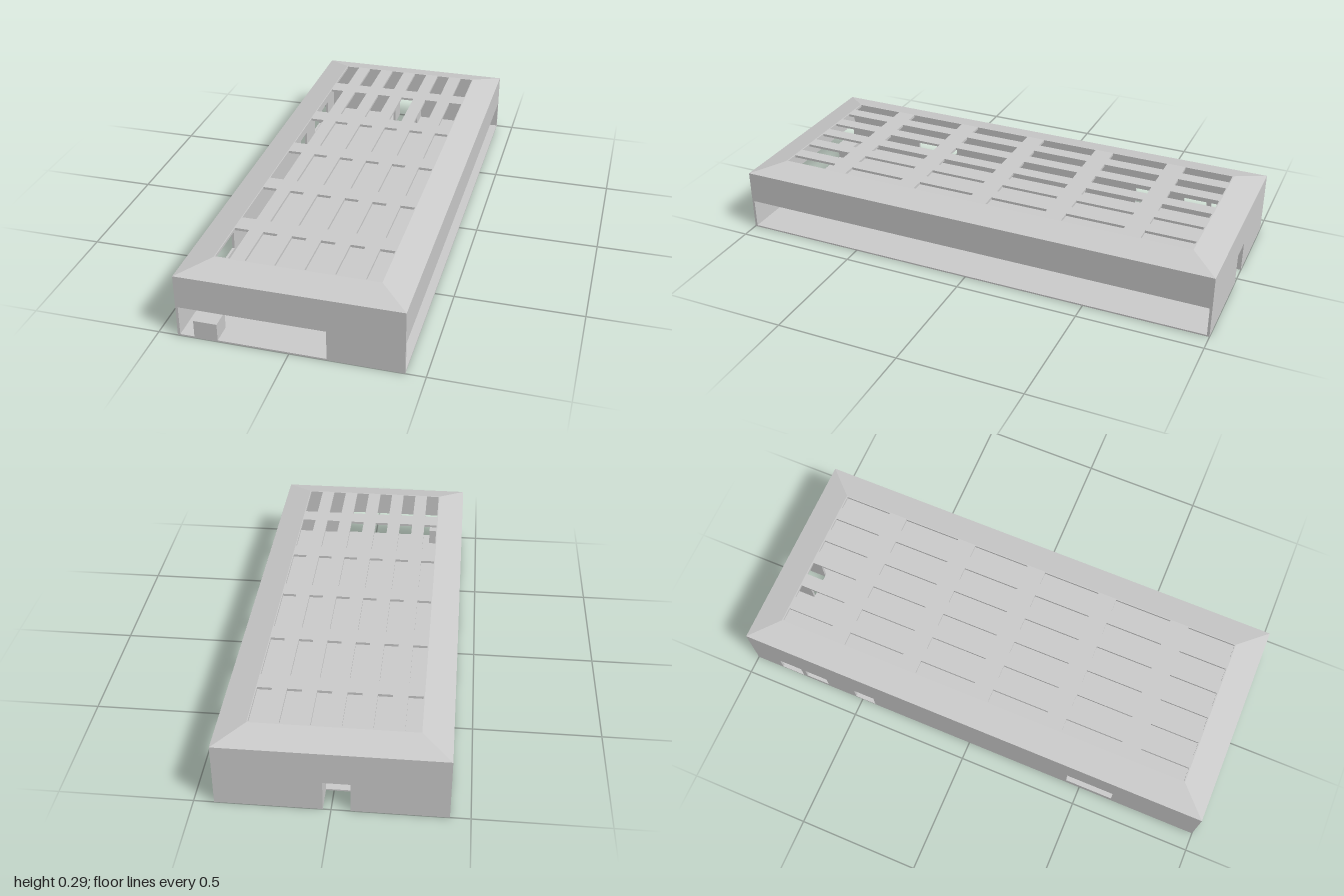
import * as THREE from 'three';

const W = 0.425, L = 1, SEAM = 0.13, T = 0.01;
const material = new THREE.MeshStandardMaterial({ color: 0xcccccc, flatShading: true, side: THREE.DoubleSide });

function add(parent, name, geometry) {
  const mesh = new THREE.Mesh(geometry, material);
  mesh.name = name;
  parent.add(mesh);
  return mesh;
}

// Box given by its minimum and maximum corners
function block(parent, name, x0, x1, y0, y1, z0, z1) {
  const mesh = add(parent, name, new THREE.BoxGeometry(x1 - x0, y1 - y0, z1 - z0));
  mesh.position.set((x0 + x1) / 2, (y0 + y1) / 2, (z0 + z1) / 2);
}

const outline = (points) => points.map(([x, y]) => new THREE.Vector2(x, y));
const rect = (x0, x1, y0, y1) => outline([[x0, y0], [x1, y0], [x1, y1], [x0, y1]]);

// Flat plate with cut-outs
function plate(points, holes, depth) {
  const shape = new THREE.Shape(points);
  holes.forEach((h) => shape.holes.push(new THREE.Path(rect(...h))));
  return new THREE.ExtrudeGeometry(shape, { depth, bevelEnabled: false });
}

// Rectangular rings [half width, height, half length] joined into a shell
function rectLoft(rings) {
  const pos = [], index = [];
  rings.forEach(([w, y, l]) => pos.push(-w, y, l, w, y, l, w, y, -l, -w, y, -l));
  for (let r = 0; r < rings.length; r++) {
    const next = (r + 1) % rings.length;
    for (let i = 0; i < 4; i++) {
      const j = (i + 1) % 4;
      const a = r * 4 + i, b = r * 4 + j, c = next * 4 + j, d = next * 4 + i;
      index.push(a, b, c, a, c, d);
    }
  }
  let g = new THREE.BufferGeometry();
  g.setAttribute('position', new THREE.Float32BufferAttribute(pos, 3));
  g.setIndex(index);
  g = g.toNonIndexed();
  g.computeVertexNormals();
  return g;
}

function createBase() {
  const base = new THREE.Group();
  base.name = 'base';

  // Floor with a cable notch in the back edge
  const floor = plate(outline([
    [-W, -L], [W, -L], [W, L], [0.04, L], [0.04, 0.9], [-0.08, 0.9], [-0.08, L], [-W, L],
  ]), [], 0.006);
  add(base, 'floor', floor.rotateX(-Math.PI / 2));

  // Side wall with port openings
  const side = plate(rect(-L, L, 0, SEAM), [
    [0.44, 0.64, 0.03, 0.115],
    [-0.53, -0.44, 0.006, 0.08],
    [-0.76, -0.66, 0.02, 0.08],
    [-0.88, -0.78, 0.006, 0.08],
  ], T);
  add(base, 'sideWall', side.rotateY(-Math.PI / 2)).position.x = -W + T;

  // Back wall in two halves around the notch
  block(base, 'backWall', -W, -0.08, 0, SEAM, -L, -L + T);
  block(base, 'backWall', 0.04, W, 0, SEAM, -L, -L + T);
  for (const x of [-0.08, 0.04 - T]) block(base, 'notchCheek', x, x + T, 0, SEAM, -L, -0.9);

  // Front wall and the short post in the front opening
  block(base, 'frontWall', 0.14, W, 0, SEAM, L - T, L);
  block(base, 'frontPost', -0.36, -0.27, 0, 0.075, L - 0.08, L);
  return base;
}

function createLid() {
  const lid = new THREE.Group();
  lid.name = 'lid';
  const tw = 0.312, tl = 0.885, top = 0.286;

  // Walls and sloped rim
  add(lid, 'rim', rectLoft([
    [W, SEAM - 0.005, L], [W, 0.257, L], [tw, top, tl],
    [tw, top - T, tl], [W - T, 0.257 - T, L - T], [W - T, SEAM - 0.005, L - T],
  ]));

  // Top grille: six rows of six slots
  const rows = [[-0.88, -0.68], [-0.6, -0.36], [-0.28, -0.04], [0.04, 0.28], [0.36, 0.6], [0.68, 0.88]];
  const slots = [];
  for (const [z0, z1] of rows) {
    for (let i = 0; i < 6; i++) {
      const x = -0.308 + i * 0.112;
      slots.push([x, x + 0.056, z0, z1]);
    }
  }
  const grille = plate(rect(-tw, tw, -tl, tl), slots, T);
  add(lid, 'ventGrille', grille.rotateX(-Math.PI / 2)).position.y = top - T;
  return lid;
}

export function createModel() {
  const model = new THREE.Group();
  model.name = 'ventedCase';
  model.add(createBase(), createLid());
  return model;
}
